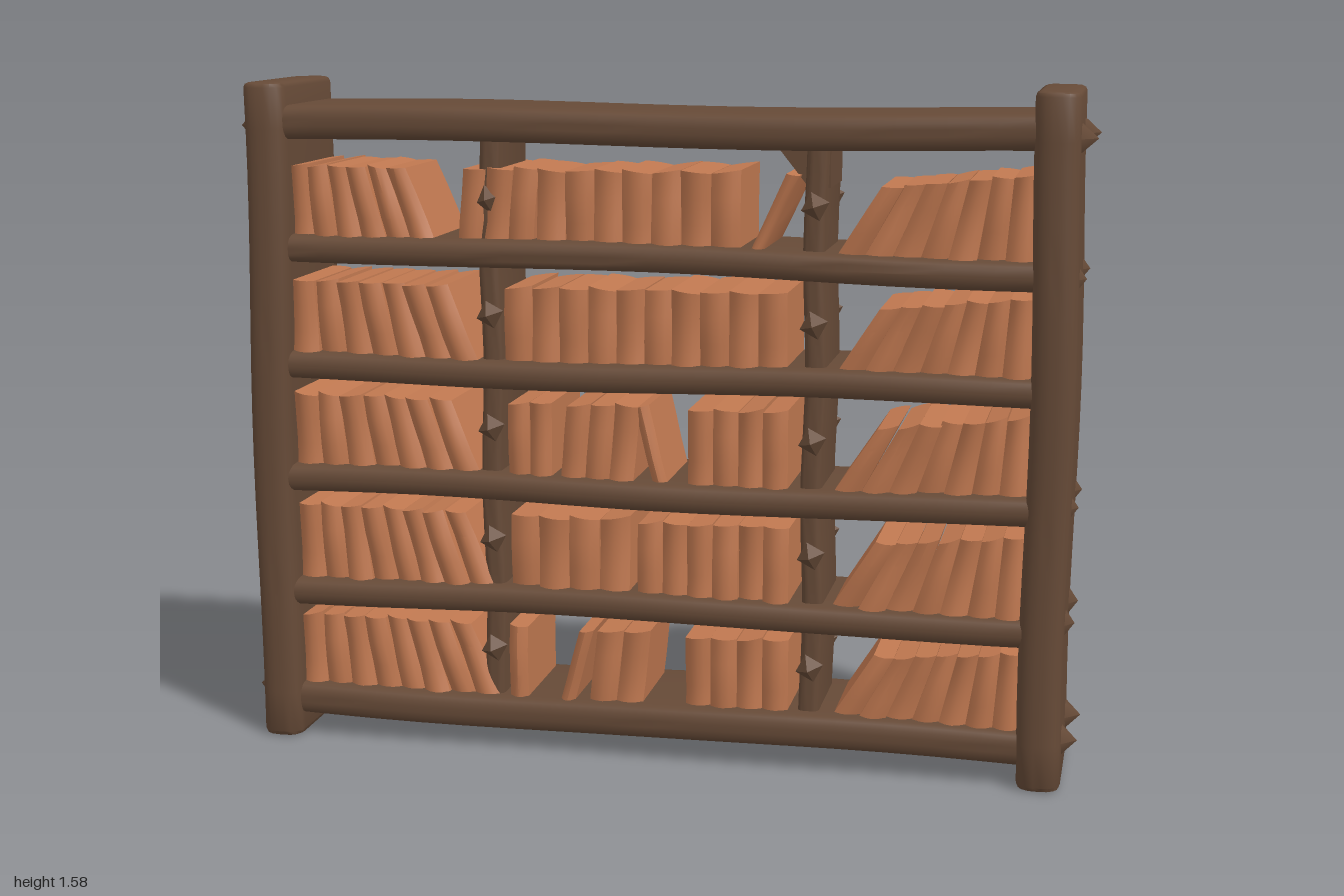
import * as THREE from 'three';
import { toCreasedNormals } from 'three/addons/utils/BufferGeometryUtils.js';

const wood = new THREE.MeshStandardMaterial({ name: 'darkWood', color: 0x664a37 });
const leather = new THREE.MeshStandardMaterial({ name: 'bookLeather', color: 0xc07850 });

let seed = 7;
const rnd = () => (seed = (seed * 16807) % 2147483647) / 2147483647;
const jitter = (a) => (rnd() - 0.5) * 2 * a;
const lerp = THREE.MathUtils.lerp;

function add(parent, name, geo, mat, x = 0, y = 0, z = 0) {
  const m = new THREE.Mesh(geo, mat);
  m.name = name;
  m.position.set(x, y, z);
  parent.add(m);
  return m;
}

// Move every vertex by a smooth rule
function warp(geo, rule) {
  const p = geo.attributes.position;
  const v = new THREE.Vector3();
  for (let i = 0; i < p.count; i++) {
    v.fromBufferAttribute(p, i);
    rule(v);
    p.setXYZ(i, v.x, v.y, v.z);
  }
  return geo;
}

// Rounded timber with section w by d, running along local z, centred
function timber(w, d, length, r, bevel) {
  const a = w / 2 - bevel, b = d / 2 - bevel;
  const s = new THREE.Shape();
  s.moveTo(-a + r, -b);
  s.lineTo(a - r, -b).quadraticCurveTo(a, -b, a, -b + r);
  s.lineTo(a, b - r).quadraticCurveTo(a, b, a - r, b);
  s.lineTo(-a + r, b).quadraticCurveTo(-a, b, -a, b - r);
  s.lineTo(-a, -b + r).quadraticCurveTo(-a, -b, -a + r, -b);
  const geo = new THREE.ExtrudeGeometry(s, {
    depth: length - 2 * bevel, steps: 16, curveSegments: 4,
    bevelEnabled: bevel > 0, bevelSize: bevel, bevelThickness: bevel, bevelSegments: 2,
  });
  return geo.translate(0, 0, -length / 2 + bevel);
}

// One book with rounded spines: x0 to x1 at the base, each edge leaning at the top
function book(x0, x1, lean0, lean1, y, h0, h1) {
  const depth = 0.122 + jitter(0.01), tilt = jitter(0.008);
  const geo = new THREE.BoxGeometry(1, 1, 1, 4, 3, 1);
  warp(geo, (v) => {
    const u = v.x + 0.5, t = v.y + 0.5;
    const bulge = 0.014 * (1 - (2 * u - 1) ** 2);
    v.x = lerp(x0, x1, u) + lerp(lean0, lean1, u) * t;
    v.y = y + lerp(h0, h1, u) * t;
    v.z = Math.sign(v.z) * (depth + bulge + tilt * (t - 0.5)) + 0.004 * Math.sin(t * 5 + x0 * 40);
  });
  return toCreasedNormals(geo, 0.6);
}

// Fill a stretch of shelf with books, fanning from one lean to the other
function fill(row, y, x0, x1, lean0, lean1, h0, h1) {
  const n = Math.max(1, Math.round((x1 - x0) / 0.065));
  for (let i = 0; i < n; i++) {
    const u = i / n, w = (i + 1) / n, dip = jitter(0.006);
    add(row, 'book', book(
      lerp(x0, x1, u), lerp(x0, x1, w), lerp(lean0, lean1, u), lerp(lean0, lean1, w),
      y, lerp(h0, h1, u) + dip, lerp(h0, h1, w) - dip,
    ), leather);
  }
}

// Per row: end of the right-hand block, then the middle stretches as start, end, lean
const rows = [
  { end: -0.37, middle: [[-0.345, -0.3, 0], [-0.22, -0.185, 0.05], [-0.15, -0.02, 0.02], [0.085, 0.33, 0]] },
  { end: -0.38, middle: [[-0.34, -0.05, 0], [-0.03, 0.33, 0]] },
  { end: -0.41, middle: [[-0.34, -0.235, 0], [-0.215, -0.04, 0.015], [0.005, 0.04, -0.045], [0.09, 0.325, 0]] },
  { end: -0.41, middle: [[-0.35, 0.32, 0]] },
  { end: -0.51, middle: [[-0.46, -0.28, 0.015], [-0.27, 0.21, 0], [0.23, 0.26, 0.085]] },
];

export function createModel() {
  const model = new THREE.Group();
  model.name = 'bookshelf';

  // Shelf boards, slightly uneven, the outer two thicker
  for (let i = 0; i < 6; i++) {
    const outer = i === 0 || i === 5;
    const geo = timber(outer ? 0.08 : 0.066, 0.33, 1.8, 0.032, 0);
    geo.rotateZ(Math.PI / 2).rotateY(Math.PI / 2);
    warp(geo, (v) => {
      v.y += 0.005 * Math.sin(v.x * 4 + i * 2) - 0.006 * v.x * (i === 4 ? 2 : 0);
      v.z += 0.004 * Math.sin(v.x * 7 + i) * Math.sign(v.z);
    });
    add(model, 'shelfBoard', toCreasedNormals(geo, 0.8), wood, 0, 0.09 + 0.275 * i + (i === 5 ? 0.025 : 0), 0);
  }

  // End panels with gently uneven faces, and the bumps of the shelf joints
  for (const s of [-1, 1]) {
    const end = new THREE.Group();
    end.name = s > 0 ? 'leftEndPanel' : 'rightEndPanel';
    const geo = timber(0.1, 0.372, 1.585, 0.03, 0.012).rotateX(-Math.PI / 2);
    warp(geo, (v) => {
      v.x += 0.005 * Math.sin(v.y * 5 + s);
      v.z += 0.003 * Math.sin(v.y * 6) * Math.sign(v.z);
      if (v.y > 0.75) v.y -= 0.012 * Math.abs(v.x * s + 0.05);
    });
    add(end, 'panel', toCreasedNormals(geo, 0.8), wood, s * 0.918, 0.7925, 0);
    for (const y of [0.1, 0.38, 0.65, 1.17, 1.48]) {
      for (const z of [-0.1, 0.09]) {
        const tall = y > 1.4 || y < 0.2 ? 0.05 : 0.035;
        const bump = new THREE.ConeGeometry(0.05, tall, 6).rotateZ(-s * Math.PI / 2);
        add(end, 'jointBump', toCreasedNormals(bump, 0.9), wood, s * (0.95 + tall / 2), y, z);
      }
    }
    model.add(end);
  }

  // Inner uprights with a knot on both faces at every level
  for (const x of [-0.385, 0.38]) {
    const upright = new THREE.Group();
    upright.name = 'innerUpright';
    const geo = timber(0.05, 0.24, 1.38, 0.018, 0).rotateX(-Math.PI / 2);
    warp(geo, (v) => { v.x += 0.004 * Math.sin(v.y * 11); });
    add(upright, 'post', toCreasedNormals(geo, 0.8), wood, x, 0.79, 0);
    for (let level = 0; level < 5; level++) {
      for (const z of [-0.12, 0.12]) {
        const knot = add(upright, 'knot', new THREE.OctahedronGeometry(0.034), wood, x, 0.24 + 0.27 * level, z);
        knot.rotation.z = 0.3;
      }
    }
    model.add(upright);
  }

  // Small brace under the top board
  const brace = new THREE.Shape();
  brace.moveTo(0.28, 1.46).lineTo(0.36, 1.36).lineTo(0.41, 1.36).lineTo(0.41, 1.46);
  add(model, 'topBrace', new THREE.ExtrudeGeometry(brace, { depth: 0.18, bevelEnabled: false }), wood, 0, 0, -0.09);

  // Book rows: leaning blocks at both ends and separate stretches between
  rows.forEach(({ end, middle }, i) => {
    const row = new THREE.Group();
    row.name = 'bookRow';
    const y = 0.12 + 0.2725 * i;
    fill(row, y, -0.87, end, 0, -0.075, 0.182, 0.178);
    for (const [x0, x1, lean] of middle) fill(row, y, x0, x1, lean, lean, 0.178, 0.184);
    fill(row, y, 0.43, 0.87, 0.1, 0, 0.155, 0.19);
    model.add(row);
  });
  return model;
}
